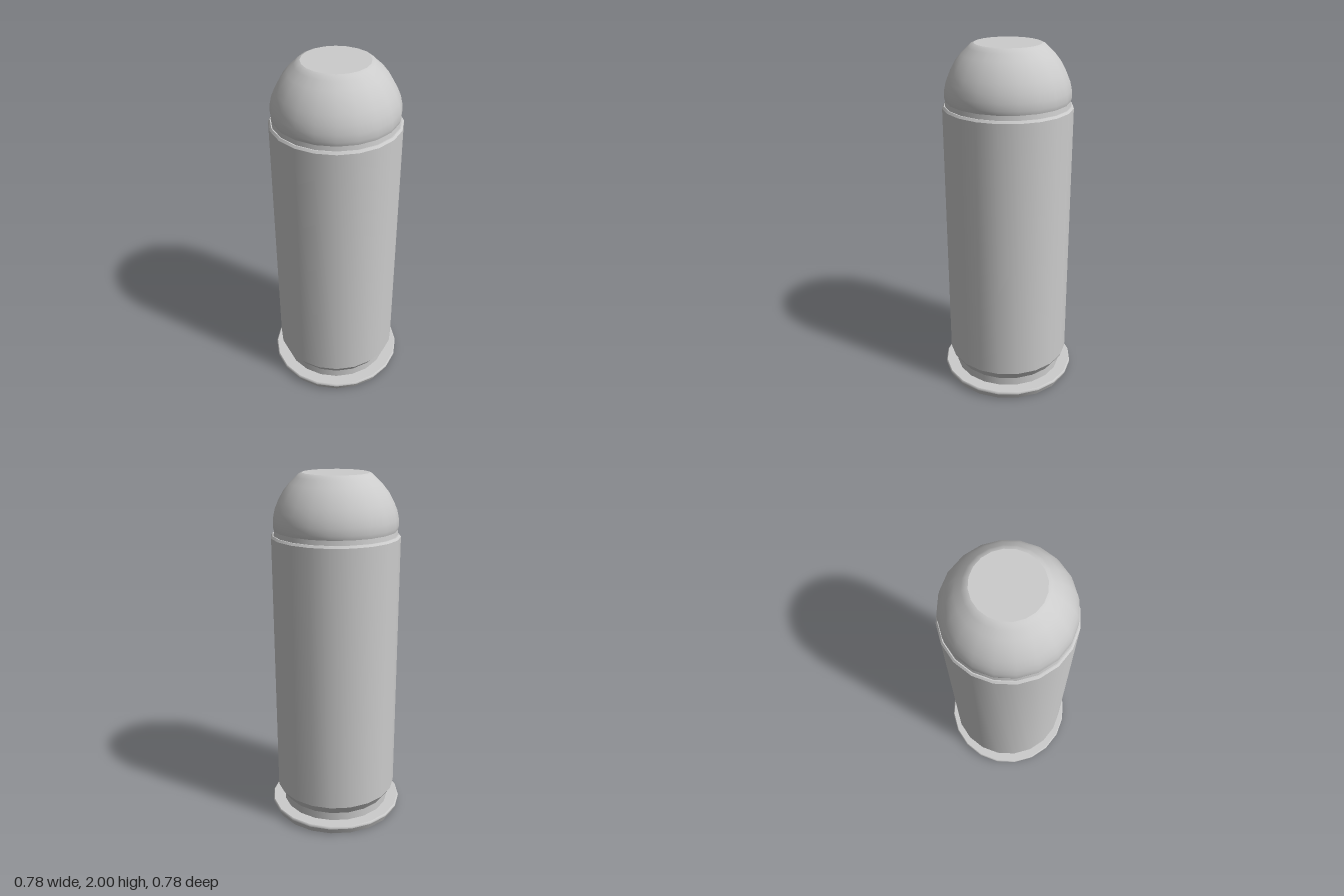
import * as THREE from 'three';
import { mergeGeometries } from 'three/addons/utils/BufferGeometryUtils.js';

const SIDES = 20;
const material = new THREE.MeshStandardMaterial({ color: 0xcccccc });

// Each band is a smooth run of [radius, height]; edges between bands stay sharp.
function turned(name, bands) {
  const lathes = bands.map((band) =>
    new THREE.LatheGeometry(band.map(([r, y]) => new THREE.Vector2(r, y)), SIDES));
  const mesh = new THREE.Mesh(mergeGeometries(lathes), material);
  mesh.name = name;
  return mesh;
}

export function createModel() {
  const group = new THREE.Group();
  group.name = 'cartridge';

  // Flat base disc with a bevelled edge
  group.add(turned('rim', [
    [[0, 0], [0.372, 0]],
    [[0.372, 0], [0.384, 0.025], [0.39, 0.038]],
    [[0.39, 0.038], [0.39, 0.047], [0.384, 0.052]],
    [[0.384, 0.052], [0.317, 0.052]],
  ]));

  // Recessed extractor groove
  group.add(turned('extractorGroove', [
    [[0.317, 0.052], [0.317, 0.1]],
  ]));

  // Case wall, with the taper below and the mouth lip above
  group.add(turned('case', [
    [[0.317, 0.1], [0.355, 0.157]],
    [[0.355, 0.157], [0.355, 1.663]],
    [[0.355, 1.663], [0.346, 1.675]],
    [[0.346, 1.675], [0.335, 1.675]],
  ]));

  // Domed bullet with a small crimp step and a flat nose
  group.add(turned('bullet', [
    [[0.341, 1.67], [0.337, 1.7]],
    [[0.337, 1.7], [0.343, 1.722], [0.341, 1.76], [0.331, 1.805], [0.312, 1.85],
      [0.284, 1.9], [0.248, 1.945], [0.212, 1.978], [0.197, 1.993], [0.18, 2]],
    [[0.18, 2], [0, 2]],
  ]));

  return group;
}
